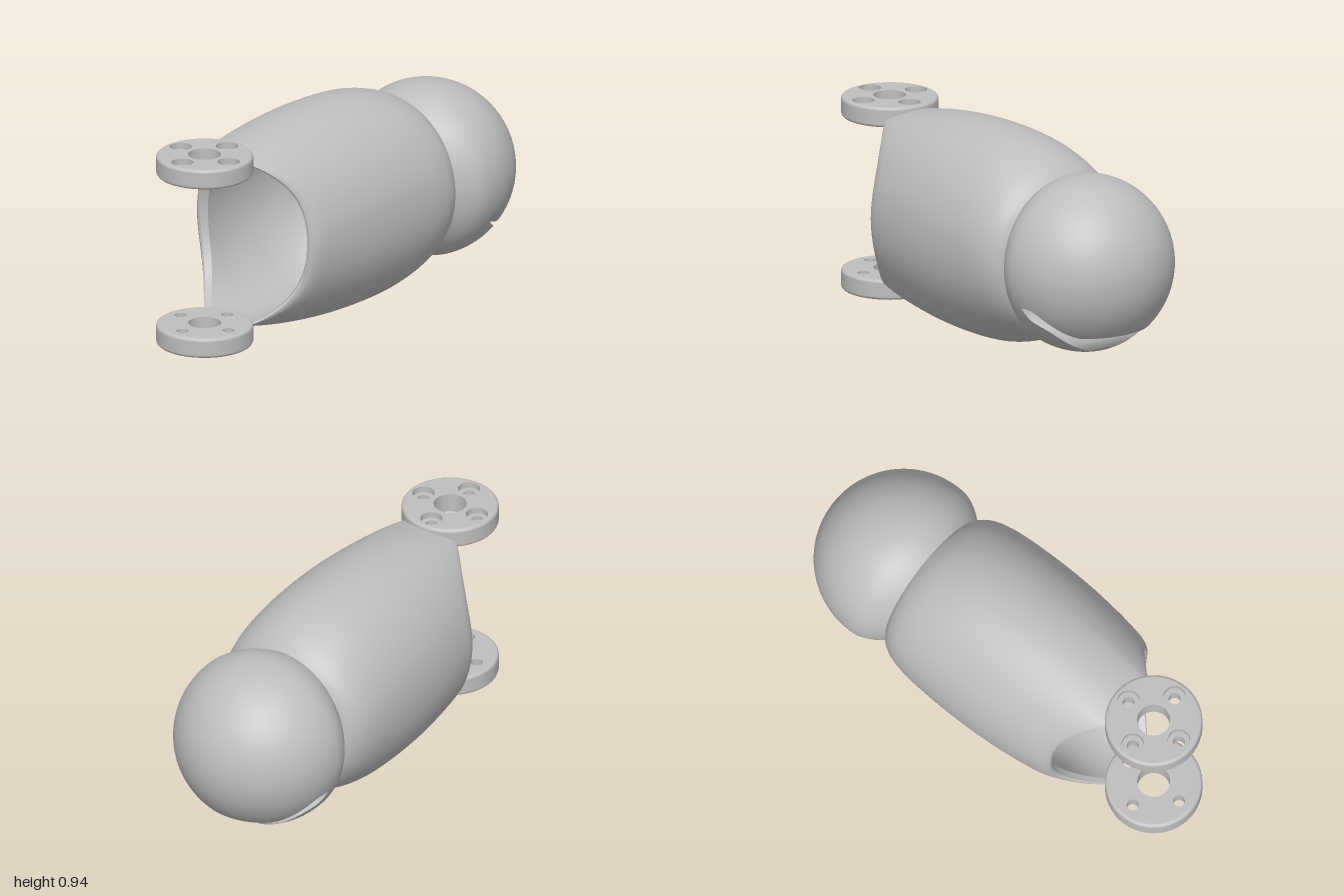
import * as THREE from 'three';
import { mergeVertices, mergeGeometries } from 'three/addons/utils/BufferGeometryUtils.js';

const CY = 0.47;                       // height of the body axis
const HEAD = { y: 0.465, z: -0.612, r: 0.388 };
const RAD = Math.PI / 180;
const clamp01 = t => THREE.MathUtils.clamp(t, 0, 1);

// Surface from a grid of points; fn(u, v) returns [x, y, z].
function grid(rows, cols, fn, flip = false) {
  const pos = [], idx = [];
  for (let i = 0; i <= rows; i++) for (let j = 0; j <= cols; j++) pos.push(...fn(i / rows, j / cols));
  for (let i = 0; i < rows; i++) for (let j = 0; j < cols; j++) {
    const a = i * (cols + 1) + j, b = a + 1, c = a + cols + 1, d = c + 1;
    if (flip) idx.push(a, c, b, b, c, d);
    else idx.push(a, b, c, b, d, c);
  }
  const g = new THREE.BufferGeometry();
  g.setAttribute('position', new THREE.Float32BufferAttribute(pos, 3));
  g.setIndex(idx);
  return g;
}

function smooth(g) {
  const m = mergeVertices(g, 1e-4);
  m.computeVertexNormals();
  return m;
}

// Linear interpolation in a table of [key, value].
function lookup(table, k) {
  for (let i = 1; i < table.length; i++) {
    const [k0, v0] = table[i - 1], [k1, v1] = table[i];
    if (k <= k1) return v0 + (v1 - v0) * Math.max(0, (k - k0) / (k1 - k0));
  }
  return table[table.length - 1][1];
}

// Scooped front rim: the body reaches forward at top and bottom to the mounting discs.
function rimZ(a) {
  const s = Math.abs(Math.sin(a)), x = Math.abs(0.34 * Math.cos(a));
  const scoop = 0.48 + 0.16 * Math.pow(s / 0.91, 3.4);
  const disc = x < 0.21 ? 0.81 - Math.sqrt(0.0441 - x * x) : 1;
  return Math.min(scoop, disc);
}

// Half width and half height of the body along z: (z, rx, ry)
const bodyCurve = new THREE.CatmullRomCurve3([
  [-0.455, 0.31, 0.332], [-0.43, 0.342, 0.355], [-0.38, 0.37, 0.39], [-0.3, 0.388, 0.425],
  [-0.18, 0.397, 0.456], [0, 0.4, 0.47], [0.2, 0.394, 0.465], [0.42, 0.377, 0.438], [0.6, 0.353, 0.402],
].map(p => new THREE.Vector3(...p)));

function outerPoint(u, a) {
  const p = bodyCurve.getPoint(u);
  const z = p.x > 0 ? p.x * rimZ(a) / 0.6 : p.x;
  const t = clamp01((u - 0.94) / 0.06);
  const round = 1 - 0.07 * (1 - Math.sqrt(1 - t * t));     // rounded edge at the sides of the rim
  return [p.y * round * Math.cos(a), CY + p.z * Math.sin(a), z];
}

// Cavity: a short tube, slightly wider inside, that ends in a dome.
function cavityPoint(v, a) {
  const front = rimZ(a) - 0.025, z0 = 0.15, depth = 0.45;
  if (v < 0.3) {
    const z = front + (z0 - front) * v / 0.3;
    const rx = 0.325 - 0.033 * Math.pow(clamp01((z - z0) / 0.305), 2);
    return [rx * Math.cos(a), CY + 0.394 * Math.sin(a), z];
  }
  const f = (v - 0.3) / 0.7 * Math.PI / 2, c = Math.cos(f);
  return [0.325 * c * Math.cos(a), CY + 0.394 * c * Math.sin(a), z0 - depth * Math.sin(f)];
}

function buildBody(add) {
  const ang = v => v * Math.PI * 2;
  add('bodyShell', smooth(grid(120, 128, (u, v) => outerPoint(u, ang(v)))));
  // rim: flat front face, then a small step into the cavity
  const rimInner = a => [0.315 * Math.cos(a), CY + 0.398 * Math.sin(a), rimZ(a)];
  add('rimFace', smooth(grid(1, 128, (u, v) => u ? rimInner(ang(v)) : outerPoint(1, ang(v)))));
  add('rimStep', smooth(grid(1, 128, (u, v) => u ? cavityPoint(0, ang(v)) : rimInner(ang(v)))));
  add('cavity', smooth(grid(40, 128, (u, v) => cavityPoint(u, ang(v)))));
}

// Mouth outline in polar form around the head centre: [degrees from straight down, radius]
const R = HEAD.r;
const palate = [[10, 0.143], [19, 0.148], [28.6, 0.163], [32, 0.178], [34, 0.195], [35.7, 0.23],
  [36.6, 0.265], [37.3, 0.305], [38.6, 0.338], [42, 0.357], [47, R]];
const jawTop = [[10, 0.143], [12, 0.172], [14.2, 0.194], [17, 0.21], [20.4, 0.225], [24, 0.243],
  [26.2, 0.262], [27, 0.28]];
const jawFront = [[10, R], [17, R], [21, 0.381], [23.5, 0.364], [25, 0.35], [26.2, 0.329], [27, 0.3]];

// Point of the head from polar position and side (-1 to 1); narrows into the neck.
function headPoint(deg, r, side) {
  const t = deg * RAD;
  const z = HEAD.z - r * Math.sin(t);
  const neck = Math.pow(clamp01((z + 0.6) / 0.15), 2);
  return [
    side * Math.sqrt(Math.max(0, R * R - r * r)) * (1 - 0.12 * neck),
    HEAD.y - r * Math.cos(t) * (1 - 0.05 * neck),
    Math.min(z, -0.44),
  ];
}

// Patch of the sphere between two polar radii, on both sides.
function headPatch(d0, d1, steps, inner, outer) {
  return [1, -1].map(side => grid(steps, 32, (u, v) => {
    const d = d0 + (d1 - d0) * u;
    const f0 = Math.asin(inner(d) / R), f1 = Math.asin(Math.min(1, outer(d) / R));
    return headPoint(d, R * Math.sin(f0 + (f1 - f0) * v), side);
  }, side < 0));
}

// Wall that crosses the head from side to side along a polar outline.
function headWall(points) {
  const n = points.length - 1;
  return smooth(grid(n, 24, (u, v) => headPoint(...points[Math.round(u * n)], v * 2 - 1)));
}

const sampled = (table, d0, d1, n) =>
  Array.from({ length: n + 1 }, (_, i) => d0 + (d1 - d0) * i / n).map(d => [d, lookup(table, d)]);

function buildHead(add) {
  add('head', smooth(mergeGeometries([
    ...headPatch(47, 370, 108, () => 0, () => R),
    ...headPatch(10, 47, 148, () => 0, d => lookup(palate, d)),
    ...headPatch(10, 27, 34, d => lookup(jawTop, d), d => lookup(jawFront, d)),
  ])));
  add('palate', headWall(sampled(palate, 10, 47, 148)));
  add('jawLip', headWall([...sampled(jawTop, 10, 27, 34), ...sampled(jawFront, 27, 10, 34)]));
}

// Flat slab with a centre bore and four screw holes.
function slab(holeR, y0, y1) {
  const s = new THREE.Shape().absarc(0, 0, 0.195, 0, Math.PI * 2);
  const hole = (x, y, r) => s.holes.push(new THREE.Path().absarc(x, y, r, 0, Math.PI * 2, true));
  hole(0, 0, 0.071);
  for (let i = 0; i < 4; i++) hole(0.141 * Math.cos(i * Math.PI / 2), 0.141 * Math.sin(i * Math.PI / 2), holeR);
  const g = new THREE.ExtrudeGeometry(s, { depth: y1 - y0, bevelEnabled: false, curveSegments: 40 });
  return g.rotateX(-Math.PI / 2).translate(0, y0, 0);
}

// Mounting disc with a rounded rim and counterbores on its upper side.
function mountingDisc(name, mat) {
  const h = 0.045, f = 0.015, g = new THREE.Group();
  const rim = [];
  for (const side of [-1, 1]) for (let i = 0; i <= 6; i++) {
    const a = (side < 0 ? i - 6 : i) * Math.PI / 12;
    rim.push(new THREE.Vector2(0.195 + f * Math.cos(a), side * (h - f) + f * Math.sin(a)));
  }
  const parts = { discBase: slab(0.026, -h, 0.016), discTop: slab(0.048, 0.016, h), discRim: new THREE.LatheGeometry(rim, 80) };
  for (const [n, geo] of Object.entries(parts)) {
    const m = new THREE.Mesh(geo, mat);
    m.name = n;
    g.add(m);
  }
  g.name = name;
  return g;
}

export function createModel() {
  const model = new THREE.Group();
  model.name = 'model';
  const grey = new THREE.MeshStandardMaterial({ color: 0xbebebe, side: THREE.DoubleSide });
  grey.name = 'grey';
  const add = (name, geo) => {
    const m = new THREE.Mesh(geo, grey);
    m.name = name;
    model.add(m);
  };
  buildBody(add);
  buildHead(add);

  const top = mountingDisc('upperDisc', grey);
  top.position.set(0, 0.849, 0.79);
  const bottom = mountingDisc('lowerDisc', grey);
  bottom.position.set(0, 0.076, 0.79);
  bottom.rotation.x = Math.PI;
  model.add(top, bottom);
  return model;
}
